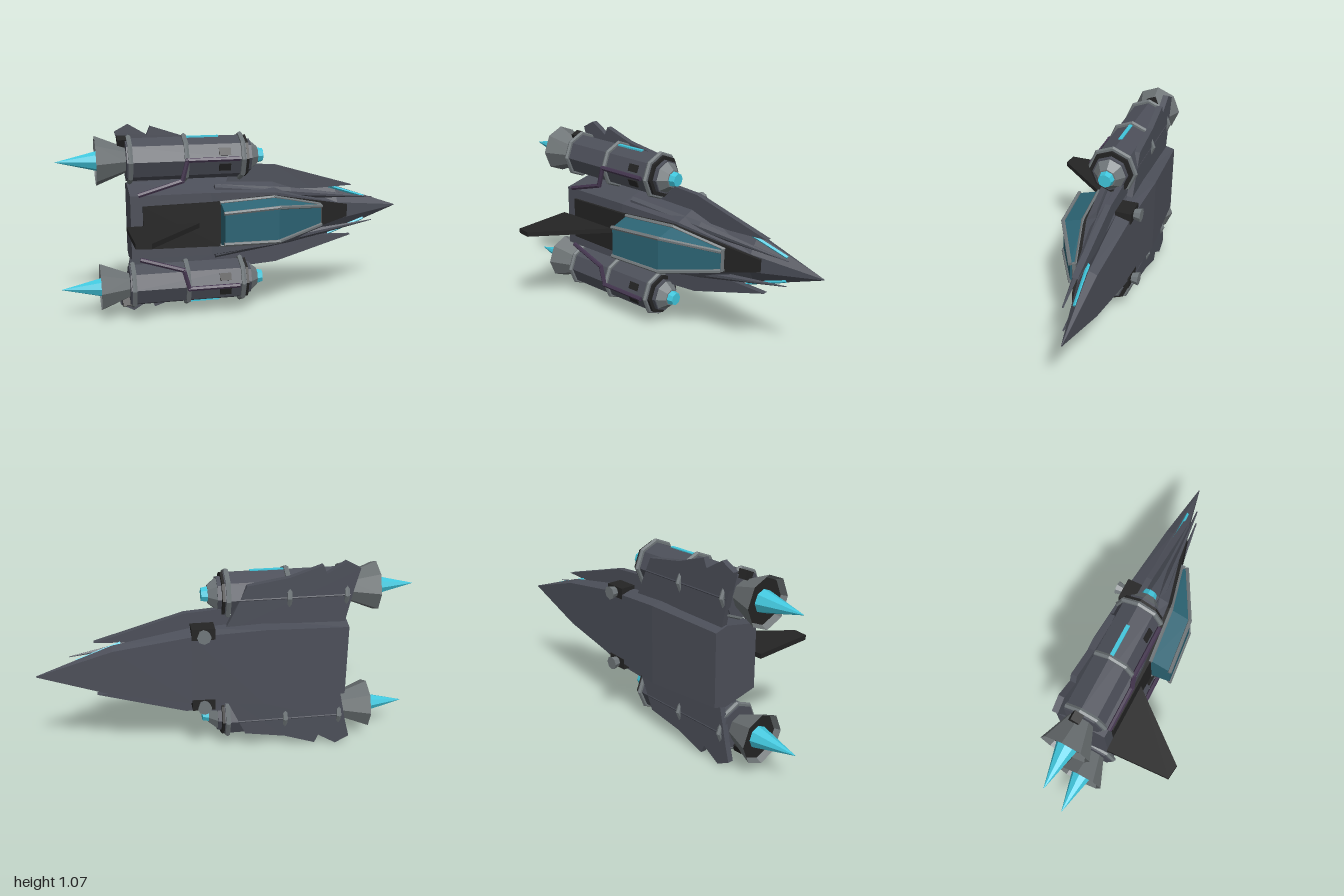
import * as THREE from 'three';

const mat = (name, color) => Object.assign(new THREE.MeshStandardMaterial({ color }), { name });

// Flat-faced copy of a geometry, optionally mirrored across the ship's centre plane
function faceted(geo, mirrored = false) {
  const g = geo.index ? geo.toNonIndexed() : geo.clone();
  const p = g.attributes.position;
  if (mirrored) {
    const a = new THREE.Vector3(), b = new THREE.Vector3();
    for (let i = 0; i < p.count; i += 3) {
      a.fromBufferAttribute(p, i + 1);
      b.fromBufferAttribute(p, i + 2);
      p.setXYZ(i + 1, b.x, b.y, b.z);
      p.setXYZ(i + 2, a.x, a.y, a.z);
    }
    for (let i = 0; i < p.count; i++) p.setY(i, -p.getY(i));
  }
  g.computeVertexNormals();
  return g;
}

// Skin symmetric sections along x; each is [x, [half width, z] from bottom to top...]
function loft(sections) {
  const rings = sections.map(([x, ...half]) => [
    ...half.map(([h, z]) => [x, h, z]),
    ...half.slice().reverse().map(([h, z]) => [x, -h, z]),
  ]);
  const n = rings[0].length, last = (rings.length - 1) * n, idx = [];
  for (let i = 0; i < rings.length - 1; i++) {
    for (let j = 0; j < n; j++) {
      const k = (j + 1) % n, a = i * n + j, b = i * n + k;
      idx.push(a, b, b + n, a, b + n, a + n);
    }
  }
  for (let j = 1; j < n - 1; j++) idx.push(0, j + 1, j, last, last + j, last + j + 1);
  const g = new THREE.BufferGeometry();
  g.setAttribute('position', new THREE.Float32BufferAttribute(rings.flat(2), 3));
  g.setIndex(idx);
  return g;
}

// Flat plate outlined in x/y between two z levels
function plate(points, z0, z1) {
  const shape = new THREE.Shape(points.map(([x, y]) => new THREE.Vector2(x, y)));
  return new THREE.ExtrudeGeometry(shape, { depth: z1 - z0, bevelEnabled: false }).translate(0, 0, z0);
}

// Straight rod between two points
function rod(a, b, r, sides = 6) {
  const p = new THREE.Vector3(...a), d = new THREE.Vector3(...b).sub(p);
  const g = new THREE.CylinderGeometry(r, r, d.length() + r, sides);
  g.applyQuaternion(new THREE.Quaternion().setFromUnitVectors(new THREE.Vector3(0, 1, 0), d.clone().normalize()));
  return g.translate(p.x + d.x / 2, p.y + d.y / 2, p.z + d.z / 2);
}

export function createModel() {
  const hull = mat('hull grey', 0x4c4f59), dark = mat('charcoal', 0x242424);
  const metal = mat('light metal', 0x70777a), glow = mat('cyan glow', 0x40c6dc);
  const glass = mat('teal glass', 0x2c6474), purple = mat('purple pipe', 0x44364f);
  const nozzleMat = mat('nozzle metal', 0x6c7274);
  nozzleMat.side = THREE.DoubleSide;

  const ship = new THREE.Group();
  ship.name = 'spaceship';
  ship.position.y = 0.535;
  const add = (name, geo, m) => {
    const mesh = new THREE.Mesh(faceted(geo), m);
    mesh.name = name;
    ship.add(mesh);
  };
  const pair = (name, geo, m) => [false, true].forEach((flip) => {
    const mesh = new THREE.Mesh(faceted(geo, flip), m);
    mesh.name = name + (flip ? 'Lower' : 'Upper');
    ship.add(mesh);
  });

  // Fuselage
  add('fuselage', loft([
    [-0.62, [0.195, -0.31], [0.215, -0.235], [0.175, -0.035]],
    [-0.18, [0.215, -0.33], [0.225, -0.235], [0.175, -0.035]],
    [0.2, [0.19, -0.308], [0.21, -0.235], [0.15, -0.075]],
    [0.6, [0.125, -0.284], [0.14, -0.24], [0.05, -0.18]],
    [0.99, [0.002, -0.262], [0.003, -0.26], [0.002, -0.258]],
  ]), hull);

  // Dark deck under the canopy
  add('deck', loft([
    [-0.555, [0.118, -0.2], [0.118, -0.022]],
    [-0.13, [0.13, -0.2], [0.125, -0.018]],
    [0.18, [0.14, -0.2], [0.138, -0.052]],
    [0.66, [0.04, -0.22], [0.035, -0.178]],
  ]), dark);

  // Canopy with its frame: [x, base half, base z, top half, top z]
  const canopy = [
    [-0.13, 0.12, -0.02, 0.085, 0.095],
    [0.18, 0.13, -0.05, 0.095, 0.065],
    [0.47, 0.058, -0.125, 0.055, -0.09],
  ];
  add('canopy', loft(canopy.map(([x, h, z, th, tz]) => [x, [h, z], [th, tz]])), glass);
  for (let i = 0; i < 2; i++) {
    const [a, b] = [canopy[i], canopy[i + 1]];
    pair('canopyTopRail', rod([a[0], a[3], a[4]], [b[0], b[3], b[4]], 0.011), metal);
    pair('canopyBaseRail', rod([a[0], a[1], a[2]], [b[0], b[1], b[2]], 0.011), metal);
  }
  const front = canopy[2];
  add('canopyFrontBar', rod([front[0], -front[1], -0.112], [front[0], front[1], -0.112], 0.011), metal);

  // Dorsal fin
  add('dorsalFin', plate([[-0.645, -0.02], [-0.635, 0.335], [-0.555, 0.345], [-0.24, -0.03]], 0, 0.026)
    .rotateX(Math.PI / 2).translate(0, 0.013, 0), dark);

  // Wings with a notched trailing tip
  pair('wing', plate([
    [0.03, 0.18], [-0.09, 0.43], [-0.31, 0.465], [-0.48, 0.522], [-0.5, 0.475],
    [-0.6, 0.535], [-0.675, 0.495], [-0.65, 0.4], [-0.6, 0.17],
  ], -0.262, -0.23), hull);

  // Nose strakes and glowing strips
  pair('outerStrake', plate([
    [-0.1, 0.17], [0.04, 0.298], [0.23, 0.285], [0.69, 0.15], [0.45, 0.14],
  ], -0.22, -0.188), hull);
  pair('innerStrake', loft([
    [-0.15, [0, -0.03], [0.025, 0], [0.01, 0.02]],
    [0.3, [0, -0.03], [0.03, 0], [0.01, 0.02]],
    [0.82, [0, -0.004], [0.002, 0], [0.001, 0.004]],
  ]).applyMatrix4(new THREE.Matrix4().set(
    1, 0, 0, 0,
    -0.12, 1, 0, 0.168,
    -0.105, 0, 1, -0.11,
    0, 0, 0, 1)), hull);
  pair('noseLight', rod([0.56, 0.142, -0.222], [0.78, 0.068, -0.24], 0.009, 4), glow);

  // Manoeuvring thrusters under the nose
  pair('thrusterBlock', new THREE.BoxGeometry(0.12, 0.06, 0.085).translate(0.14, 0.203, -0.273), dark);
  pair('thrusterBell', new THREE.CylinderGeometry(0.024, 0.037, 0.05, 8)
    .rotateX(Math.PI / 2).translate(0.14, 0.203, -0.328), metal);

  // Engines
  const EY = 0.355, EZ = -0.147;
  const drum = (x0, x1, r0, r1, open = false) =>
    new THREE.CylinderGeometry(r1, r0, x1 - x0, 8, 1, open)
      .rotateZ(-Math.PI / 2).translate((x0 + x1) / 2, EY, EZ);
  pair('engineBody', drum(-0.63, 0.02, 0.117, 0.117), hull);
  pair('engineCollar', drum(0.02, 0.034, 0.118, 0.118), dark);
  pair('engineIntakeStep', drum(0.03, 0.055, 0.095, 0.095), hull);
  pair('engineIntakeCone', drum(0.055, 0.1, 0.088, 0.05), metal);
  pair('engineIntakeGlow', drum(0.09, 0.133, 0.045, 0.036), glow);
  pair('engineNozzle', drum(-0.79, -0.63, 0.135, 0.07, true), nozzleMat);
  pair('engineNozzleCore', drum(-0.76, -0.7, 0.118, 0.09), dark);
  pair('engineFlame', drum(-1, -0.74, 0.001, 0.064), glow);
  for (const x of [-0.61, -0.31, 0.003]) {
    pair('engineRing', new THREE.TorusGeometry(0.122, 0.014, 6, 8)
      .rotateY(Math.PI / 2).translate(x, EY, EZ), metal);
  }
  for (const s of [-1, 1]) {
    const t = s * Math.PI / 8;
    pair('enginePanel', new THREE.BoxGeometry(0.065, 0.042, 0.009)
      .translate(0, 0, 0.11).rotateX(-t).translate(-0.1, EY, EZ), dark);
  }
  pair('engineLight', new THREE.BoxGeometry(0.18, 0.009, 0.02).translate(-0.21, EY + 0.115, EZ + 0.005), glow);
  pair('engineBracket', new THREE.BoxGeometry(0.05, 0.045, 0.05).rotateX(0.4)
    .translate(-0.645, EY + 0.1, EZ - 0.005), dark);

  // Fuel pipes
  const pipe = [[-0.03, 0.36, -0.017], [-0.31, 0.36, -0.017], [-0.34, 0.25, -0.017], [-0.57, 0.18, -0.03]];
  for (let i = 0; i < 3; i++) pair('fuelPipe', rod(pipe[i], pipe[i + 1], 0.013), purple);

  const root = new THREE.Group();
  root.name = 'model';
  root.add(ship);
  return root;
}
